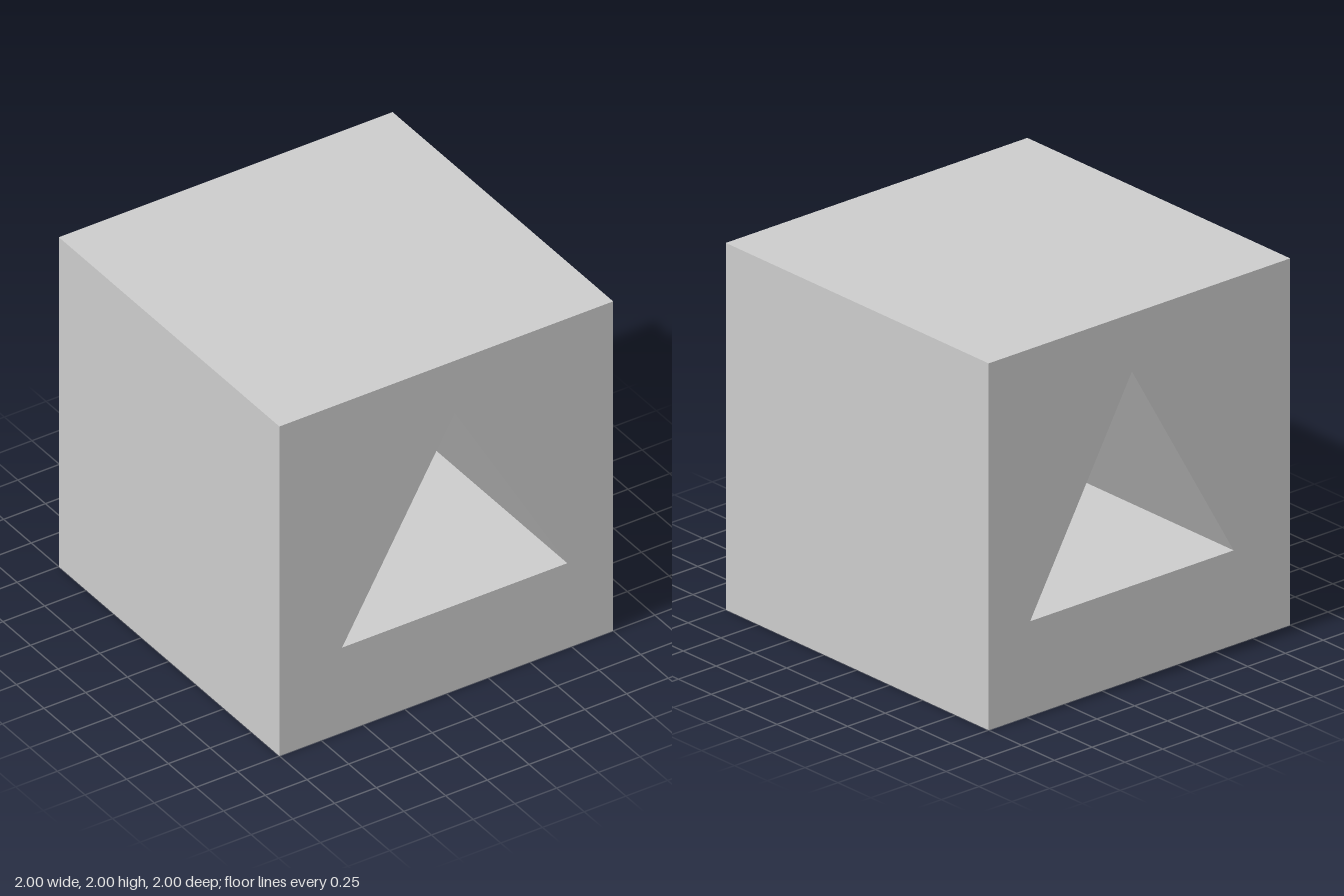
import * as THREE from 'three';

export function createModel() {
  const group = new THREE.Group();
  const size = 2;

  // Square outline of the cube
  const outline = new THREE.Shape([
    new THREE.Vector2(-1, 0),
    new THREE.Vector2(1, 0),
    new THREE.Vector2(1, size),
    new THREE.Vector2(-1, size),
  ]);

  // Equilateral triangular tunnel, slightly off centre
  const centreX = 0.05, baseY = 0.515, side = 1.35;
  const apexY = baseY + side * Math.sqrt(3) / 2;
  outline.holes.push(new THREE.Path([
    new THREE.Vector2(centreX - side / 2, baseY),
    new THREE.Vector2(centreX, apexY),
    new THREE.Vector2(centreX + side / 2, baseY),
  ]));

  // Cube pierced from front to back
  const geometry = new THREE.ExtrudeGeometry(outline, { depth: size, bevelEnabled: false });
  geometry.translate(0, 0, -size / 2);
  const cube = new THREE.Mesh(
    geometry,
    new THREE.MeshStandardMaterial({ color: 0xcccccc, flatShading: true })
  );
  cube.name = 'cubeWithTriangularTunnel';
  group.add(cube);

  return group;
}
